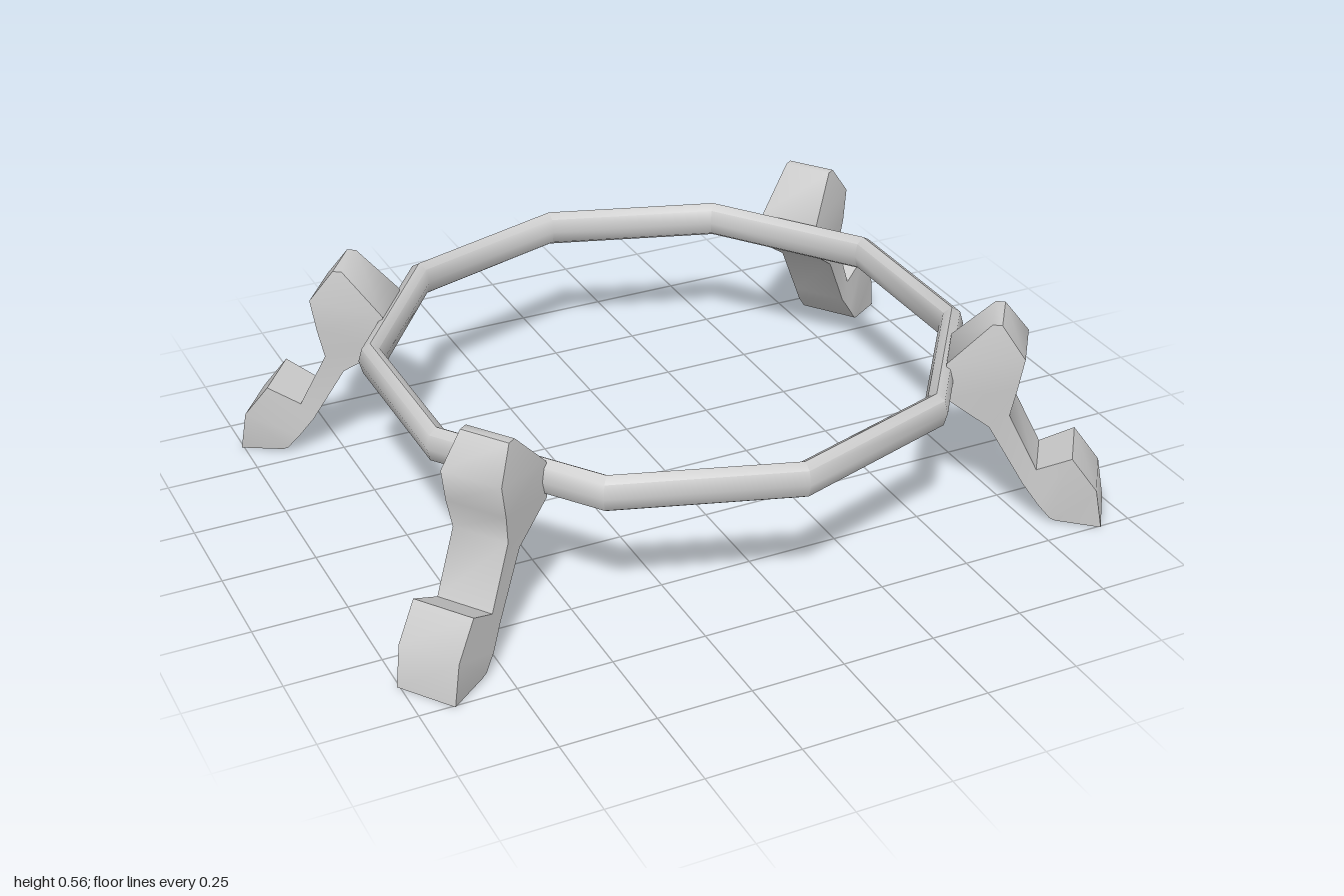
import * as THREE from 'three';
import { toCreasedNormals } from 'three/addons/utils/BufferGeometryUtils.js';

const material = new THREE.MeshStandardMaterial({ color: 0xcccccc });

// Ten-sided hoop with a small rounded section, taller than it is wide
function ringGeometry() {
  const profile = [];
  for (let i = 0; i <= 8; i++) {
    const a = (i / 8) * Math.PI * 2;
    profile.push(new THREE.Vector2(0.777 + 0.033 * Math.cos(a), 0.4 + 0.05 * Math.sin(a)));
  }
  return toCreasedNormals(new THREE.LatheGeometry(profile, 10), 0.85);
}

// Leg lofted downward: [inner reach, inner y, outer reach, outer y, half width]
function legGeometry() {
  const sections = [
    [0.86, 0.565, 0.885, 0.565, 0.068], // top of the head
    [0.75, 0.45, 0.95, 0.48, 0.085],
    [0.75, 0.35, 0.935, 0.39, 0.085],
    [0.87, 0.27, 0.92, 0.31, 0.078], // neck
    [0.967, 0.11, 1.0, 0.155, 0.078],
    [1.01, 0.055, 1.09, 0.2, 0.085], // raised toe
    [1.045, 0.015, 1.16, 0.11, 0.085],
    [1.06, 0.008, 1.18, 0, 0.083], // sole
  ];
  const points = [];
  const index = [];
  for (const [ri, yi, ro, yo, w] of sections) {
    points.push(ri, yi, -w, ro, yo, -w, ro, yo, w, ri, yi, w);
  }
  for (let j = 0; j < sections.length - 1; j++) {
    for (let i = 0; i < 4; i++) {
      const a = j * 4 + i;
      const b = j * 4 + ((i + 1) % 4);
      index.push(a, b, b + 4, a, b + 4, a + 4);
    }
  }
  const n = (sections.length - 1) * 4;
  index.push(0, 3, 2, 0, 2, 1, n, n + 1, n + 2, n, n + 2, n + 3);
  const geometry = new THREE.BufferGeometry();
  geometry.setAttribute('position', new THREE.Float32BufferAttribute(points, 3));
  geometry.setIndex(index);
  return toCreasedNormals(geometry, 0.85);
}

export function createModel() {
  const group = new THREE.Group();
  group.name = 'ringStand';

  const ring = new THREE.Mesh(ringGeometry(), material);
  ring.name = 'ring';
  group.add(ring);

  // Four legs, each square to a slanted side of the ring
  const leg = legGeometry();
  const spread = THREE.MathUtils.degToRad(35.7);
  const legs = {
    frontLeftLeg: -spread,
    backLeftLeg: spread,
    frontRightLeg: Math.PI + spread,
    backRightLeg: Math.PI - spread,
  };
  for (const [name, angle] of Object.entries(legs)) {
    const mesh = new THREE.Mesh(leg, material);
    mesh.name = name;
    mesh.rotation.y = angle;
    group.add(mesh);
  }
  return group;
}
